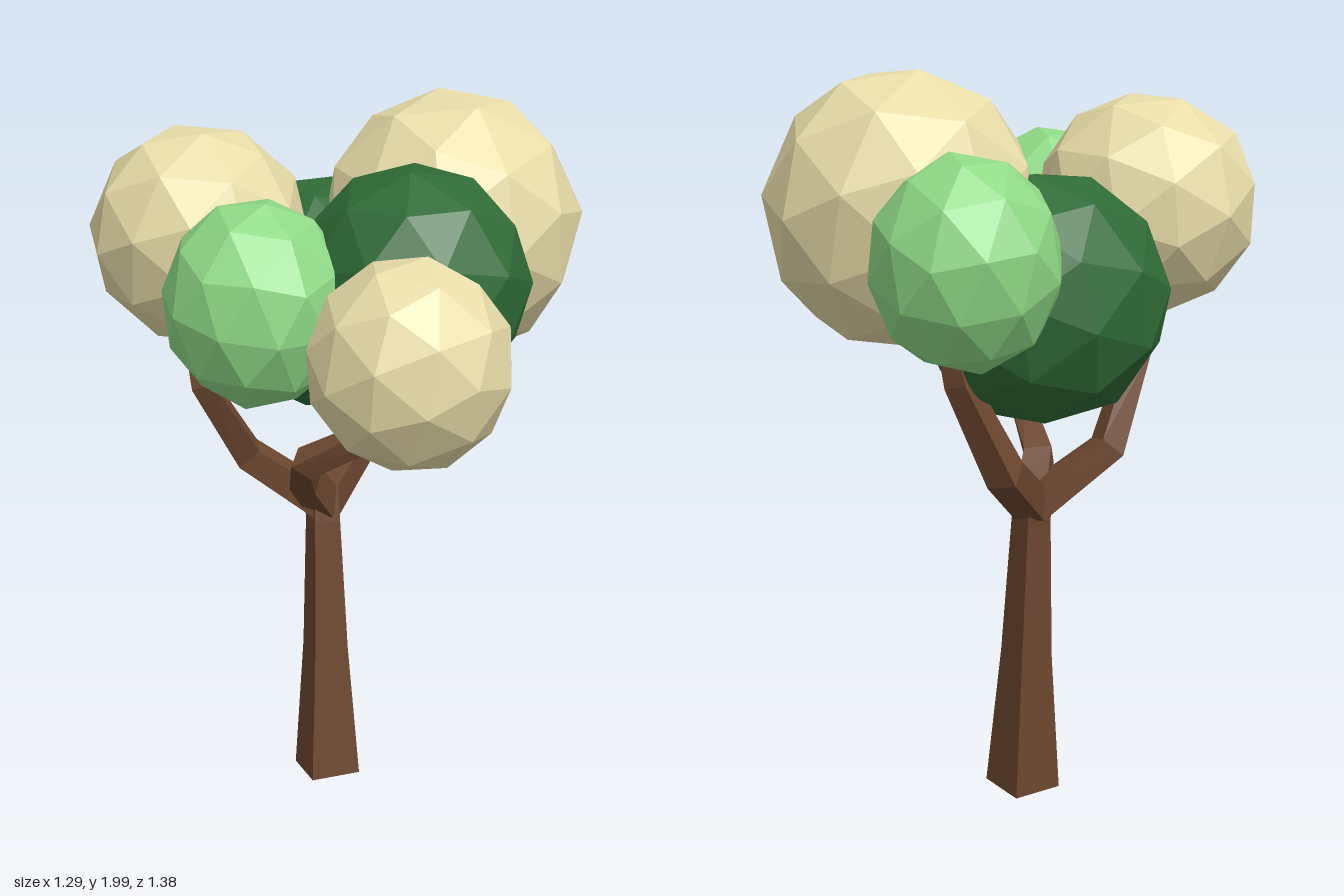
import * as THREE from 'three';

const material = (color) => new THREE.MeshStandardMaterial({ color, flatShading: true });
const v = (p) => new THREE.Vector3(...p);

// Four-sided limb swept along points [x, y, z], with one width per point
function limbGeometry(points, widths, startSide) {
  const pts = points.map(v);
  const last = pts.length - 1;
  let side = startSide;
  const rings = pts.map((p, i) => {
    const before = p.clone().sub(pts[Math.max(i - 1, 0)]).normalize();
    const after = pts[Math.min(i + 1, last)].clone().sub(p).normalize();
    const dir = before.add(after).normalize();
    if (!side) side = new THREE.Vector3(0, 1, 0).cross(dir);
    side = side.clone().addScaledVector(dir, -side.dot(dir)).normalize();
    const across = dir.clone().cross(side);
    return [[1, 1], [-1, 1], [-1, -1], [1, -1]].map(([a, b]) =>
      p.clone().addScaledVector(side, a * widths[i] / 2).addScaledVector(across, b * widths[i] / 2));
  });
  const corners = [];
  const quad = (a, b, c, d) => corners.push(a, b, c, a, c, d);
  for (let i = 0; i < last; i++) {
    for (let j = 0; j < 4; j++) {
      const k = (j + 1) % 4;
      quad(rings[i][j], rings[i][k], rings[i + 1][k], rings[i + 1][j]);
    }
  }
  quad(...[...rings[0]].reverse());
  quad(...rings[last]);
  const geometry = new THREE.BufferGeometry().setFromPoints(corners);
  geometry.computeVertexNormals();
  return geometry;
}

export function createModel() {
  const tree = new THREE.Group();
  tree.name = 'tree';
  const bark = material(0x6d472f);
  const cream = material(0xe8dca8);
  const darkGreen = material(0x2f6b36);
  const lightGreen = material(0x8fd986);

  const addLimb = (name, points, widths, side) => {
    const mesh = new THREE.Mesh(limbGeometry(points, widths, side), bark);
    mesh.name = name;
    tree.add(mesh);
  };

  // Tapered trunk, leaning slightly back, turned a little about y
  addLimb('trunk',
    [[-0.065, 0.006, -0.193], [-0.05, 0.4, -0.215], [-0.037, 0.78, -0.238], [-0.03, 0.88, -0.25]],
    [0.146, 0.1, 0.076, 0.07], new THREE.Vector3(0.96, 0, 0.27));

  // Branches rising from the fork
  const fork = [-0.03, 0.83, -0.245];
  addLimb('leftBranch', [fork, [0.2, 0.97, -0.34], [0.31, 1.22, -0.28], [0.33, 1.35, -0.26]],
    [0.085, 0.08, 0.06, 0.05]);
  addLimb('backRightBranch', [fork, [-0.2, 0.98, -0.37], [-0.36, 1.23, -0.35], [-0.38, 1.4, -0.36]],
    [0.085, 0.075, 0.06, 0.05]);
  addLimb('frontRightBranch',
    [fork, [-0.13, 0.94, -0.19], [-0.27, 1.075, 0.0], [-0.13, 1.18, 0.15], [-0.01, 1.27, 0.17], [0, 1.38, 0.17]],
    [0.085, 0.075, 0.065, 0.06, 0.055, 0.05]);
  addLimb('frontTwig', [[-0.15, 1.16, 0.12], [-0.15, 1.24, 0.28], [-0.2, 1.33, 0.36]],
    [0.055, 0.05, 0.045]);

  // Foliage clumps: name, material, centre, radii, turn
  const clumps = [
    ['largeCreamClump', cream, [0.27, 1.635, -0.05], [0.358, 0.367, 0.358], [0.4, 0.3, 0.2]],
    ['backCreamClump', cream, [-0.32, 1.63, -0.395], [0.297, 0.297, 0.3], [0.9, 0.2, 0.5]],
    ['frontCreamClump', cream, [-0.255, 1.455, 0.425], [0.26, 0.268, 0.26], [0.55, 0, 0.1]],
    ['frontDarkClump', darkGreen, [-0.035, 1.57, 0.165], [0.305, 0.305, 0.31], [0.2, 0.8, 0.3]],
    ['backDarkClump', darkGreen, [0.06, 1.415, -0.345], [0.33, 0.33, 0.332], [0.7, 0.5, 0.1]],
    ['rightLightClump', lightGreen, [-0.41, 1.54, 0], [0.242, 0.272, 0.244], [0.3, 0.1, 0.6]],
    ['leftLightClump', lightGreen, [0.405, 1.54, -0.38], [0.242, 0.272, 0.244], [0.3, 0.9, 0.2]],
  ];
  for (const [name, mat, centre, radii, turn] of clumps) {
    const geometry = new THREE.IcosahedronGeometry(1, 1);
    geometry.rotateX(turn[0]).rotateY(turn[1]).rotateZ(turn[2]);
    const clump = new THREE.Mesh(geometry.scale(...radii), mat);
    clump.name = name;
    clump.position.set(...centre);
    tree.add(clump);
  }
  return tree;
}
